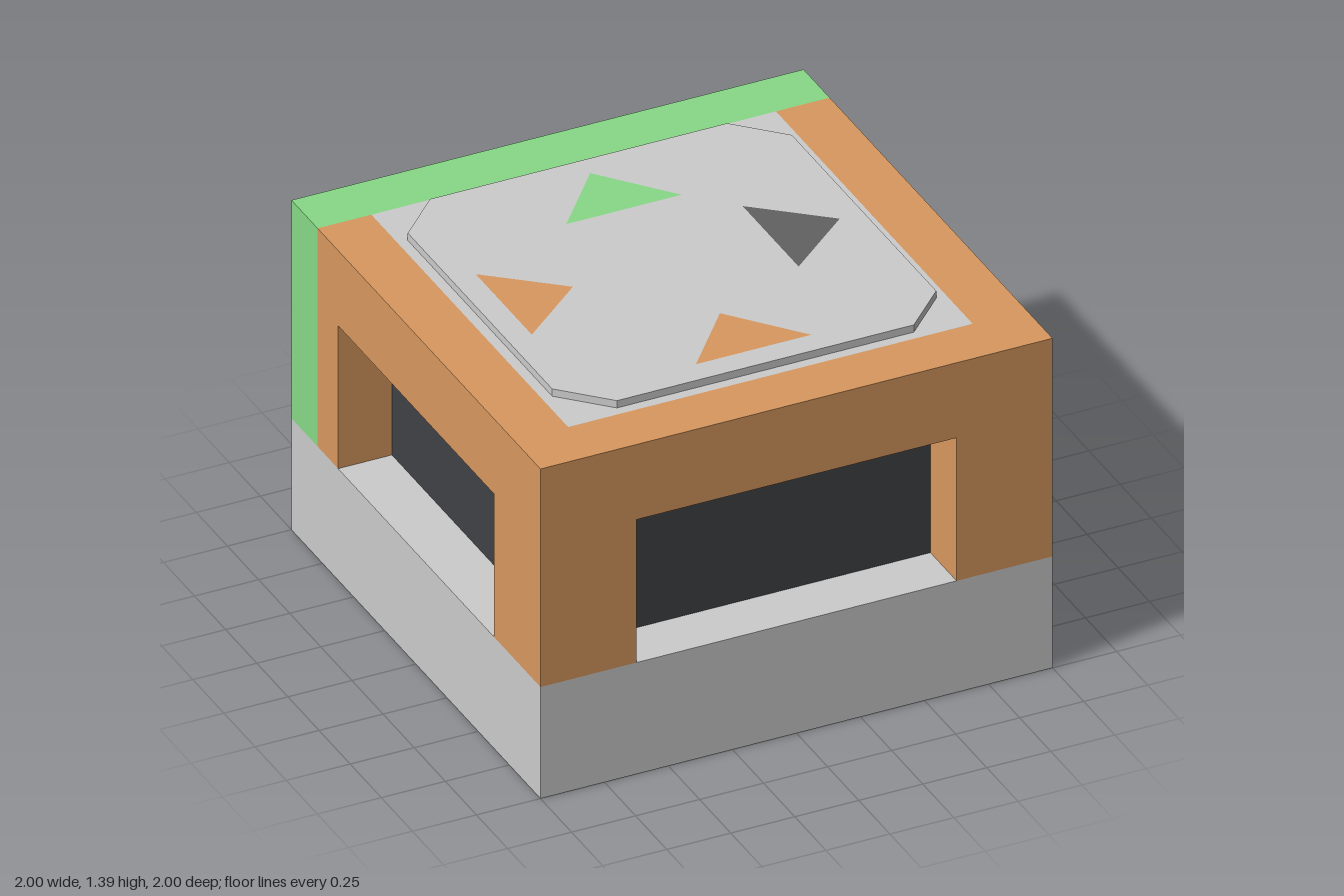
import * as THREE from 'three';

const material = (color) => new THREE.MeshStandardMaterial({ color, flatShading: true });
const grey = material(0xcccccc);
const orange = material(0xd8985e);
const green = material(0x87d987);
const dark = material(0x414246);
const charcoal = material(0x626262);

const BASE = 0.46, TOP = 1.36, LINTEL = 1.05; // heights
const INNER = 0.79, WALL = 1 - INNER;         // wall inner face and thickness
const OPEN = 0.625;                           // half width of an opening

export function createModel() {
  const model = new THREE.Group();
  model.name = 'block';

  function add(name, geometry, mat) {
    const mesh = new THREE.Mesh(geometry, mat);
    mesh.name = name;
    model.add(mesh);
    return mesh;
  }

  function box(name, w, y0, y1, d, mat) {
    const mesh = add(name, new THREE.BoxGeometry(w, y1 - y0, d), mat);
    mesh.position.y = (y0 + y1) / 2;
    return mesh;
  }

  const outline = (points) => new THREE.Shape(points.map(([x, y]) => new THREE.Vector2(x, y)));
  const extrude = (points, depth) =>
    new THREE.ExtrudeGeometry(outline(points), { depth, bevelEnabled: false });

  // Wall with a doorway cut up from its lower edge, turned to face outwards
  function openWall(name, half, angle, mat) {
    const geometry = extrude([
      [-half, BASE], [-OPEN, BASE], [-OPEN, LINTEL], [OPEN, LINTEL],
      [OPEN, BASE], [half, BASE], [half, TOP], [-half, TOP],
    ], WALL);
    geometry.translate(0, 0, INNER);
    add(name, geometry, mat).rotation.y = angle;
  }

  // Solid base, dark inner core and the flat roof panel
  box('base', 2, 0, BASE, 2, grey);
  box('core', 2 * INNER, BASE, TOP - 0.02, 2 * INNER, dark);
  box('roof', 2 * INNER, TOP - 0.02, TOP, 2 * INNER, grey);

  // Three open walls and one closed wall on the left
  openWall('frontWall', 1, 0, orange);
  openWall('backWall', 1, Math.PI, green);
  openWall('rightWall', INNER, -Math.PI / 2, orange);
  box('leftWall', WALL, BASE, TOP, 2 * INNER, orange).position.x = INNER + WALL / 2;

  // Raised plate with cut corners
  const e = 0.75, c = 0.58;
  const plate = extrude([
    [e, -c], [e, c], [c, e], [-c, e], [-e, c], [-e, -c], [-c, -e], [c, -e],
  ], 0.03);
  plate.rotateX(-Math.PI / 2);
  add('topPlate', plate, grey).position.y = TOP;

  // Arrow markers lying on the plate, each pointing along -z before its turn
  function arrow(name, x, z, angle, mat) {
    const geometry = new THREE.ShapeGeometry(outline([[-0.225, -0.135], [0.225, -0.135], [0, 0.135]]));
    geometry.rotateX(-Math.PI / 2);
    const mesh = add(name, geometry, mat);
    mesh.position.set(x, TOP + 0.032, z);
    mesh.rotation.y = angle;
  }
  arrow('backArrow', 0, -0.522, 0, green);
  arrow('frontArrow', 0, 0.52, 0, orange);
  arrow('rightArrow', -0.522, 0, -Math.PI / 2, orange);
  arrow('leftArrow', 0.52, 0, -Math.PI / 2, charcoal);

  return model;
}
